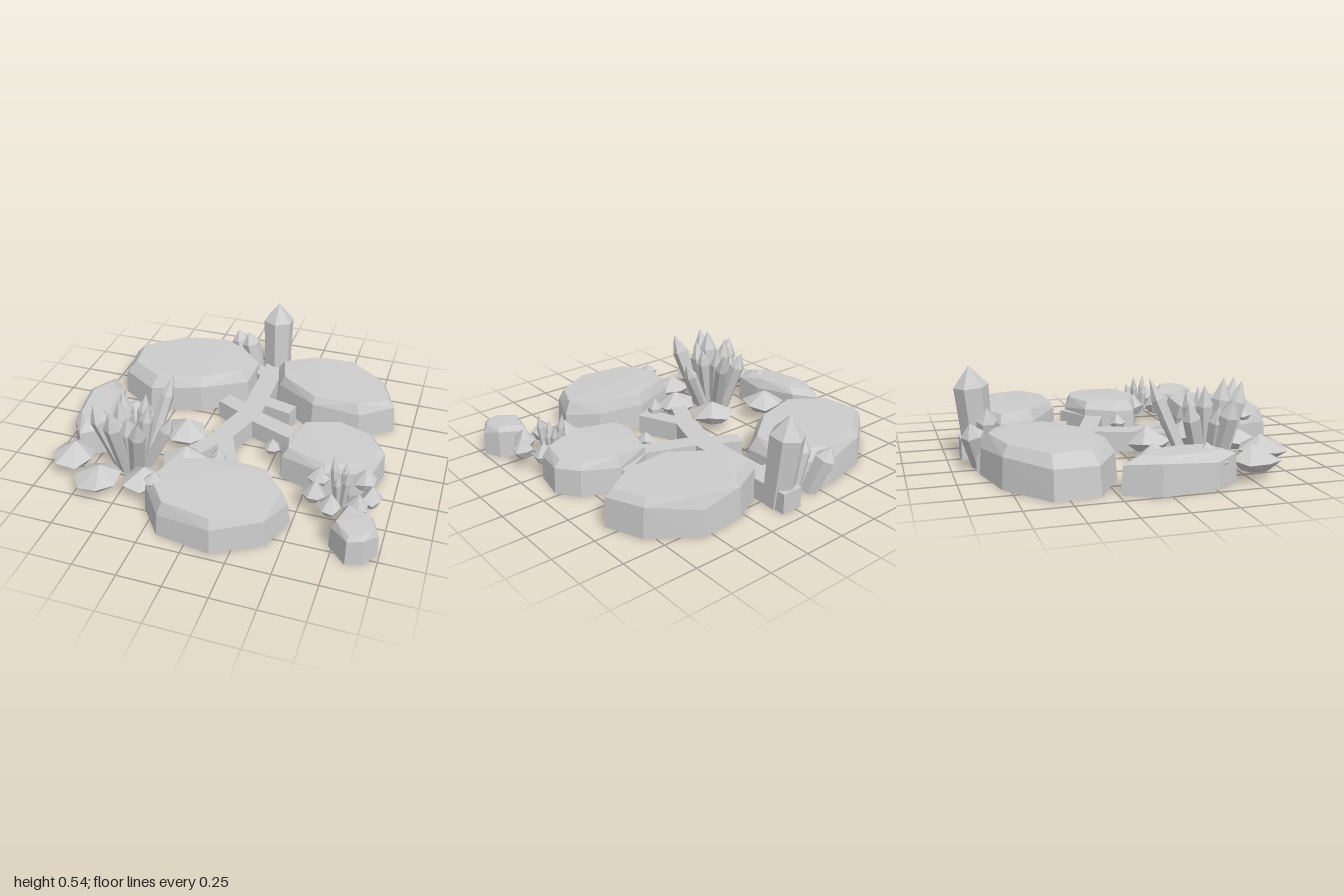
import * as THREE from 'three';
import { ConvexGeometry } from 'three/addons/geometries/ConvexGeometry.js';

const V = (x, y, z) => new THREE.Vector3(x, y, z);

export function createModel() {
  const root = new THREE.Group();
  const stone = new THREE.MeshStandardMaterial({ color: 0xcccccc, flatShading: true });
  stone.name = 'pale stone';

  const add = (parent, name, geometry) => {
    const mesh = new THREE.Mesh(geometry, stone);
    mesh.name = name;
    parent.add(mesh);
    return mesh;
  };
  const group = (name) => {
    const g = new THREE.Group();
    g.name = name;
    root.add(g);
    return g;
  };

  // Flat-topped boulder: plan outline [x, z], bevelled towards the top
  const slab = (parent, name, outline, shoulder, top, inset = 0.85) => {
    const n = outline.length;
    const cx = outline.reduce((s, p) => s + p[0], 0) / n;
    const cz = outline.reduce((s, p) => s + p[1], 0) / n;
    const points = [];
    outline.forEach(([x, z], i) => {
      const ring = (k, y) => points.push(V(cx + (x - cx) * k, y, cz + (z - cz) * k));
      ring(1, 0);
      ring(0.97, shoulder + 0.015 * Math.sin(i * 2.3));
      ring(inset, top - 0.006 + 0.006 * Math.sin(i * 1.2));
    });
    add(parent, name, new ConvexGeometry(points));
  };

  // Six-sided crystal from base to pointed tip, slightly wider at its shoulder
  const crystal = (parent, name, base, tip, r, point = 0.24) => {
    const a = V(...base), b = V(...tip);
    const q = new THREE.Quaternion().setFromUnitVectors(V(0, 1, 0), b.clone().sub(a).normalize());
    const shoulder = a.clone().lerp(b, 1 - point);
    const points = [b];
    for (let i = 0; i < 6; i++) {
      const t = (i + 0.5) * Math.PI / 3;
      const d = V(Math.cos(t), 0, Math.sin(t)).applyQuaternion(q);
      points.push(a.clone().addScaledVector(d, r * 0.85), shoulder.clone().addScaledVector(d, r));
    }
    points.filter((p) => p.y < 0).forEach((p) => { p.y = 0; });
    add(parent, name, new ConvexGeometry(points));
  };

  // Faceted lens-shaped pebble
  const pebble = (parent, name, x, z, r, y0, y1, turn = 0) => {
    const h = y1 - y0;
    const points = [V(x, y0, z), V(x + r * 0.1, y1, z - r * 0.1)];
    for (let i = 0; i < 7; i++) {
      const t = turn + i * Math.PI * 2 / 7;
      const c = Math.cos(t), s = Math.sin(t);
      const k = r * (1 + 0.07 * Math.sin(i * 2.1 + turn));
      points.push(V(x + c * k, y0 + h * (0.45 + 0.12 * Math.sin(i * 3)), z + s * k));
      points.push(V(x + c * r * 0.6, y0 + h * 0.1, z + s * r * 0.6));
    }
    add(parent, name, new ConvexGeometry(points));
  };

  // Large boulders
  const boulders = group('boulders');
  slab(boulders, 'backRightBoulder', [[-0.92, -0.58], [-0.65, -0.79], [-0.33, -0.86], [-0.16, -0.79],
    [-0.06, -0.69], [-0.07, -0.46], [-0.33, -0.26], [-0.65, -0.18], [-0.89, -0.33]], 0.16, 0.23, 0.84);
  slab(boulders, 'backLeftBoulder', [[0.06, -0.68], [0.28, -0.80], [0.55, -0.82], [0.80, -0.64],
    [0.89, -0.42], [0.69, -0.29], [0.39, -0.28], [0.12, -0.47]], 0.17, 0.23, 0.88);
  slab(boulders, 'leftBoulder', [[0.30, 0.10], [0.37, -0.09], [0.60, -0.17], [0.82, -0.10],
    [0.91, 0.03], [0.87, 0.23], [0.61, 0.33], [0.33, 0.23]], 0.15, 0.205);
  slab(boulders, 'frontBoulder', [[0.03, 0.40], [0.34, 0.43], [0.49, 0.60], [0.41, 0.81],
    [0.15, 0.96], [-0.17, 0.91], [-0.31, 0.73], [-0.26, 0.52]], 0.15, 0.225, 0.88);
  slab(boulders, 'rightBoulder', [[-0.91, -0.24], [-0.79, -0.12], [-0.73, 0.16], [-0.73, 0.33],
    [-0.86, 0.41], [-0.96, 0.27], [-1.0, -0.05]], 0.155, 0.2, 0.7);
  slab(boulders, 'smallFrontBoulder', [[0.78, 0.53], [0.94, 0.60], [0.99, 0.70], [0.93, 0.79],
    [0.84, 0.82], [0.73, 0.71]], 0.15, 0.19, 0.78);

  // Branching path between the boulders: [x1, z1, x2, z2, width]
  const path = group('branchingPath');
  [[0.025, -0.92, 0.025, -0.17, 0.13], [0.03, -0.2, -0.07, 0.1, 0.13],
    [-0.07, 0.06, 0.06, 0.36, 0.1], [-0.06, 0.08, -0.22, 0.38, 0.1],
    [0.03, -0.34, 0.27, -0.28, 0.095], [0.03, -0.18, -0.18, -0.28, 0.1],
    [0.03, -0.16, 0.45, 0.0, 0.11], [0.33, -0.02, 0.6, -0.16, 0.09],
    [0.02, -0.62, -0.3, -0.83, 0.09]].forEach(([x1, z1, x2, z2, w], i) => {
    const bar = add(path, 'pathBranch' + (i + 1),
      new THREE.BoxGeometry(Math.hypot(x2 - x1, z2 - z1), 0.12, w));
    bar.position.set((x1 + x2) / 2, 0.06, (z1 + z2) / 2);
    bar.rotation.y = -Math.atan2(z2 - z1, x2 - x1);
  });

  // Standing crystals at the back
  const back = group('backCrystals');
  crystal(back, 'tallCrystal', [0.025, 0, -0.81], [0.01, 0.54, -0.86], 0.1, 0.22);
  crystal(back, 'shortCrystal1', [-0.2, 0, -0.83], [-0.28, 0.27, -0.9], 0.065);
  crystal(back, 'shortCrystal2', [-0.1, 0, -0.78], [-0.18, 0.33, -0.79], 0.06);

  // Big crystal cluster with its ring of pebbles
  const big = group('largeCrystalCluster');
  const hub = [-0.53, 0.37];
  [[-0.37, 0.48, 0.09], [-0.38, 0.47, 0.60], [-0.73, 0.42, 0.44], [-0.28, 0.36, 0.35],
    [-0.64, 0.39, 0.22], [-0.55, 0.50, 0.46], [-0.47, 0.44, 0.27], [-0.59, 0.47, 0.33],
    [-0.49, 0.42, 0.50], [-0.42, 0.43, 0.36], [-0.68, 0.37, 0.38], [-0.57, 0.48, 0.56]].forEach(([x, y, z], i) => {
    const base = [hub[0] + (x - hub[0]) * 0.35, 0, hub[1] + (z - hub[1]) * 0.35];
    crystal(big, 'clusterCrystal' + (i + 1), base, [x, y, z], 0.042 + 0.008 * (i % 3));
  });
  [[-0.67, 0.03, 0.13, 0.19], [-0.30, 0.11, 0.13, 0.19], [-0.84, 0.52, 0.13, 0.19], [-0.62, 0.67, 0.135, 0.18],
    [-0.37, 0.61, 0.12, 0.18], [-0.21, 0.37, 0.125, 0.19], [-0.84, 0.26, 0.11, 0.22]].forEach(([x, z, r, y], i) =>
    pebble(big, 'clusterPebble' + (i + 1), x, z, r, 0.04, y, i));

  // Small crystal cluster with its ring of pebbles
  const small = group('smallCrystalCluster');
  [[0.66, 0.30, 0.33], [0.73, 0.25, 0.30], [0.76, 0.29, 0.43], [0.74, 0.22, 0.36],
    [0.70, 0.24, 0.42]].forEach(([x, y, z], i) =>
    crystal(small, 'smallCrystal' + (i + 1), [0.72 + (x - 0.72) * 0.5, 0.03, 0.37 + (z - 0.37) * 0.5],
      [x, y, z], 0.024, 0.3));
  [[0.58, 0.31], [0.58, 0.45], [0.69, 0.53], [0.83, 0.49], [0.89, 0.40], [0.83, 0.26]].forEach(([x, z], i) =>
    pebble(small, 'smallPebble' + (i + 1), x, z, 0.066, 0.06, 0.2, i));

  // Loose stones
  const loose = group('looseStones');
  pebble(loose, 'stoneOnBoulder', -0.25, 0.72, 0.055, 0.17, 0.26);
  pebble(loose, 'stoneByPath', 0.24, 0.09, 0.05, 0.05, 0.15, 1);
  crystal(loose, 'stubOnPath', [-0.01, 0, 0.33], [-0.01, 0.21, 0.33], 0.045, 0.3);

  return root;
}
